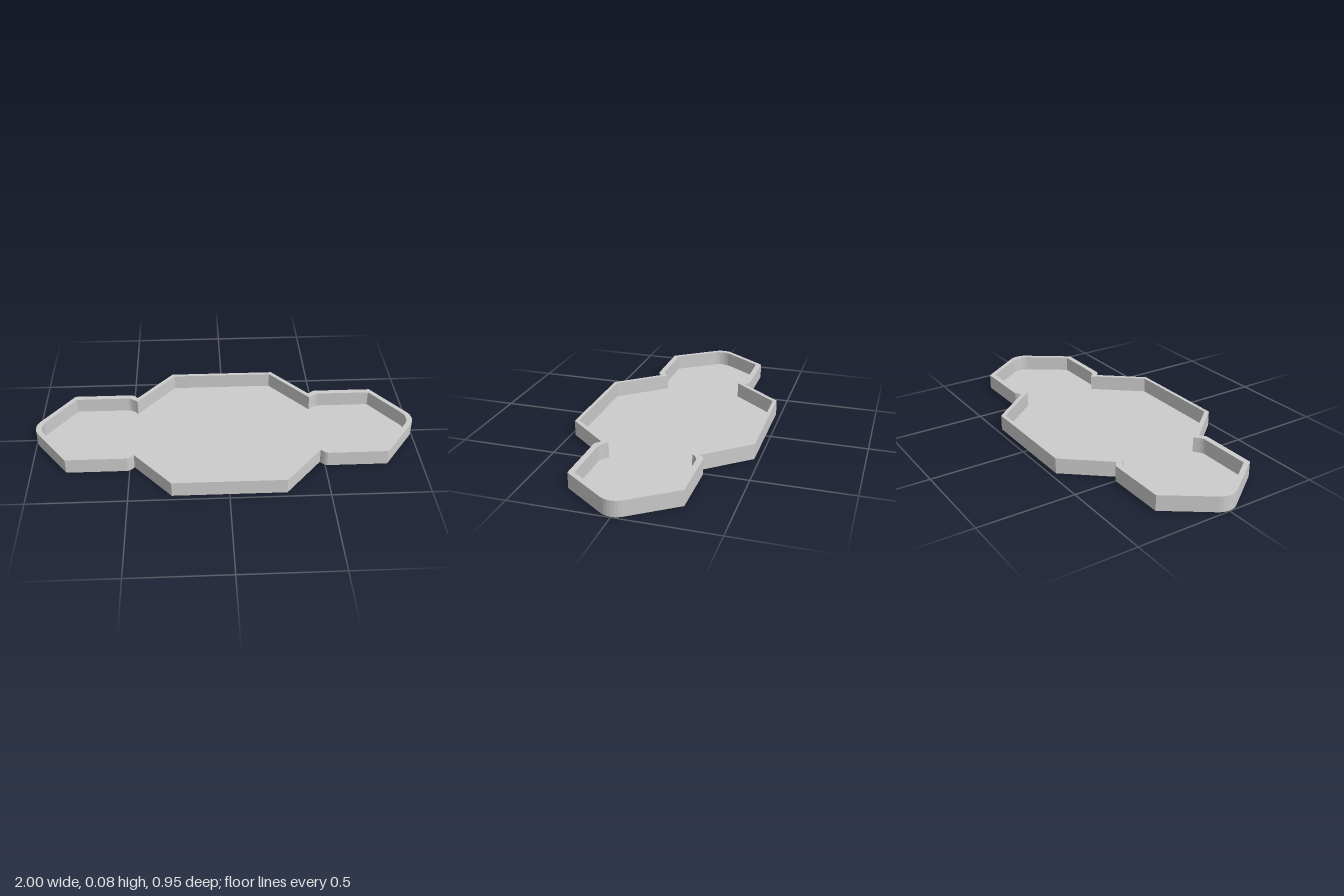
import * as THREE from 'three';

const RIM_BOTTOM = 0.003, RIM_TOP = 0.084;

// Points along a quadratic curve through [start, control, end].
function curve(points, segments) {
  const [a, b, c] = points.map(([x, y]) => new THREE.Vector2(x, y));
  return new THREE.QuadraticBezierCurve(a, b, c).getPoints(segments);
}

// One quadrant (middle corner, notch, side corner, tip) mirrored into a full counterclockwise outline.
function outline({ corner, notch, side, tip }) {
  const quadrant = [
    new THREE.Vector2(...corner), ...curve(notch, 4), new THREE.Vector2(...side), ...curve(tip, 3),
  ];
  const mirrored = [...quadrant].reverse().slice(1).map((p) => new THREE.Vector2(p.x, -p.y));
  const half = [...quadrant, ...mirrored];
  return [...half, ...half.map((p) => p.clone().negate())].reverse();
}

// Upright wall following a closed outline; it faces outward for a counterclockwise one.
function wallGeometry(points, bottom, top) {
  const positions = [], indices = [], count = points.length;
  points.forEach((p, i) => {
    positions.push(p.x, bottom, -p.y, p.x, top, -p.y);
    const a = 2 * i, b = 2 * ((i + 1) % count);
    indices.push(a, b, b + 1, a, b + 1, a + 1);
  });
  const geometry = new THREE.BufferGeometry();
  geometry.setAttribute('position', new THREE.Float32BufferAttribute(positions, 3));
  geometry.setIndex(indices);
  geometry.computeVertexNormals();
  return geometry;
}

export function createModel() {
  const group = new THREE.Group();
  group.name = 'tray';
  const material = new THREE.MeshStandardMaterial({
    color: 0xcccccc, flatShading: true, side: THREE.DoubleSide,
  });
  const add = (name, geometry) => {
    const mesh = new THREE.Mesh(geometry, material);
    mesh.name = name;
    group.add(mesh);
  };

  const outer = outline({
    corner: [0.285, 0.475],
    notch: [[0.475, 0.25], [0.495, 0.275], [0.51, 0.277]],
    side: [0.82, 0.277],
    tip: [[0.985, 0.05], [1, 0.028], [1, 0]],
  });
  const inner = outline({
    corner: [0.272, 0.455],
    notch: [[0.475, 0.213], [0.505, 0.243], [0.525, 0.247]],
    side: [0.81, 0.247],
    tip: [[0.953, 0.05], [0.969, 0.028], [0.969, 0]],
  });

  // Hollow rim, open underneath: outer wall, inner wall and the flat top between them
  add('rimOuterWall', wallGeometry(outer, RIM_BOTTOM, RIM_TOP));
  add('rimInnerWall', wallGeometry([...inner].reverse(), RIM_BOTTOM, RIM_TOP));
  const topShape = new THREE.Shape(outer);
  topShape.holes.push(new THREE.Path(inner));
  add('rimTop', new THREE.ShapeGeometry(topShape).rotateX(-Math.PI / 2).translate(0, RIM_TOP, 0));

  // Thin floor plate inside the rim
  const floor = new THREE.ExtrudeGeometry(new THREE.Shape(inner), {
    depth: RIM_BOTTOM, bevelEnabled: false,
  });
  add('floor', floor.rotateX(-Math.PI / 2));

  return group;
}
